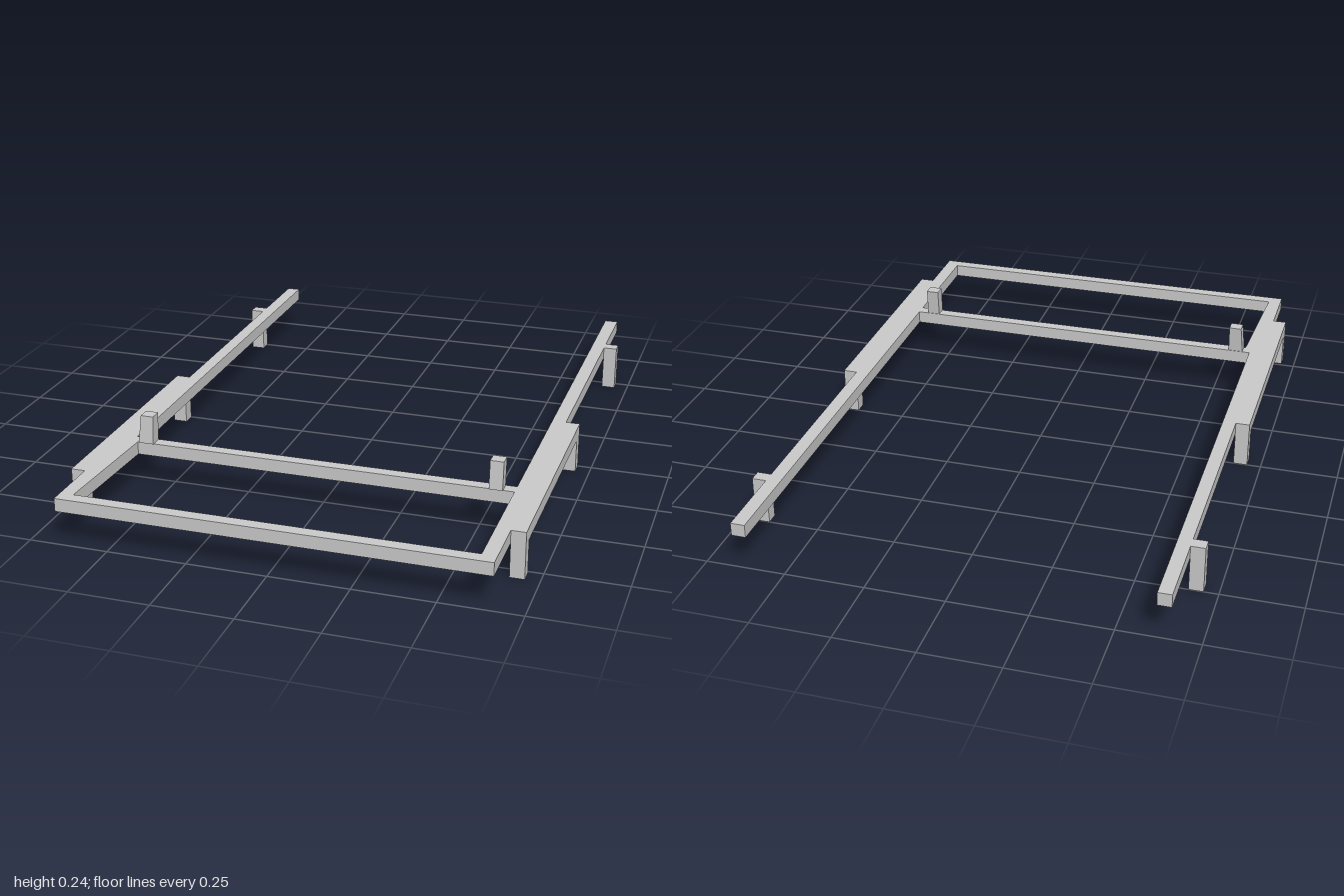
import * as THREE from 'three';

const material = new THREE.MeshStandardMaterial({ color: 0xcccccc, flatShading: true });
const BOTTOM = 0.108, TOP = 0.15;

// Box given by its extents along each axis
function bar(name, [x0, x1], [y0, y1], [z0, z1]) {
  const mesh = new THREE.Mesh(new THREE.BoxGeometry(x1 - x0, y1 - y0, z1 - z0), material);
  mesh.position.set((x0 + x1) / 2, (y0 + y1) / 2, (z0 + z1) / 2);
  mesh.name = name;
  return mesh;
}

// Horizontal bar with an outline of [x, z] points
function plate(name, points) {
  const shape = new THREE.Shape(points.map(([x, z]) => new THREE.Vector2(x, z)));
  const geometry = new THREE.ExtrudeGeometry(shape, { depth: TOP - BOTTOM, bevelEnabled: false });
  geometry.rotateX(Math.PI / 2);
  const mesh = new THREE.Mesh(geometry, material);
  mesh.position.y = TOP;
  mesh.name = name;
  return mesh;
}

// Short post whose top leans backward; the outer top edge may step in
function post(name, x0, x1, topX0) {
  const height = 0.09;
  const geometry = new THREE.BoxGeometry(x1 - x0, height, 0.04);
  geometry.translate((x0 + x1) / 2, TOP + height / 2, 0.54);
  const p = geometry.attributes.position;
  for (let i = 0; i < p.count; i++) {
    if (p.getY(i) < TOP + height / 2) continue;
    p.setZ(i, p.getZ(i) - 0.008);
    if (p.getX(i) < (x0 + x1) / 2) p.setX(i, topX0);
  }
  geometry.computeVertexNormals();
  const mesh = new THREE.Mesh(geometry, material);
  mesh.name = name;
  return mesh;
}

export function createModel() {
  const model = new THREE.Group();
  model.name = 'frame';

  // Long side rails; the right one widens between the crossbars
  model.add(bar('leftRail', [0.615, 0.66], [BOTTOM, TOP], [-1, 1]));
  model.add(plate('rightRail', [
    [-0.66, -1], [-0.617, -1], [-0.617, 0.537], [-0.597, 0.537],
    [-0.617, 0.96], [-0.617, 1], [-0.66, 1],
  ]));

  // Crossbars
  model.add(bar('frontCrossbar', [-0.617, 0.615], [BOTTOM, TOP], [0.96, 1]));
  model.add(bar('innerCrossbar', [-0.617, 0.615], [BOTTOM, TOP], [0.518, 0.556]));

  // Outer rails and legs on both sides
  for (const [side, s] of [['left', 1], ['right', -1]]) {
    const outer = s > 0 ? [0.66, 0.705] : [-0.705, -0.66];
    model.add(bar(side + 'OuterRail', outer, [BOTTOM, TOP], [0, 0.8]));
    model.add(bar(side + 'FrontLeg', outer, [0, BOTTOM], [0.76, 0.8]));
    model.add(bar(side + 'MiddleLeg', outer, [0, BOTTOM], [0, 0.043]));
    model.add(bar(side + 'BackLeg', outer, [0, TOP], [-0.75, -0.71]));
  }

  // Posts on the inner crossbar
  model.add(post('leftPost', 0.538, 0.58, 0.538));
  model.add(post('rightPost', -0.592, -0.543, -0.584));
  return model;
}
